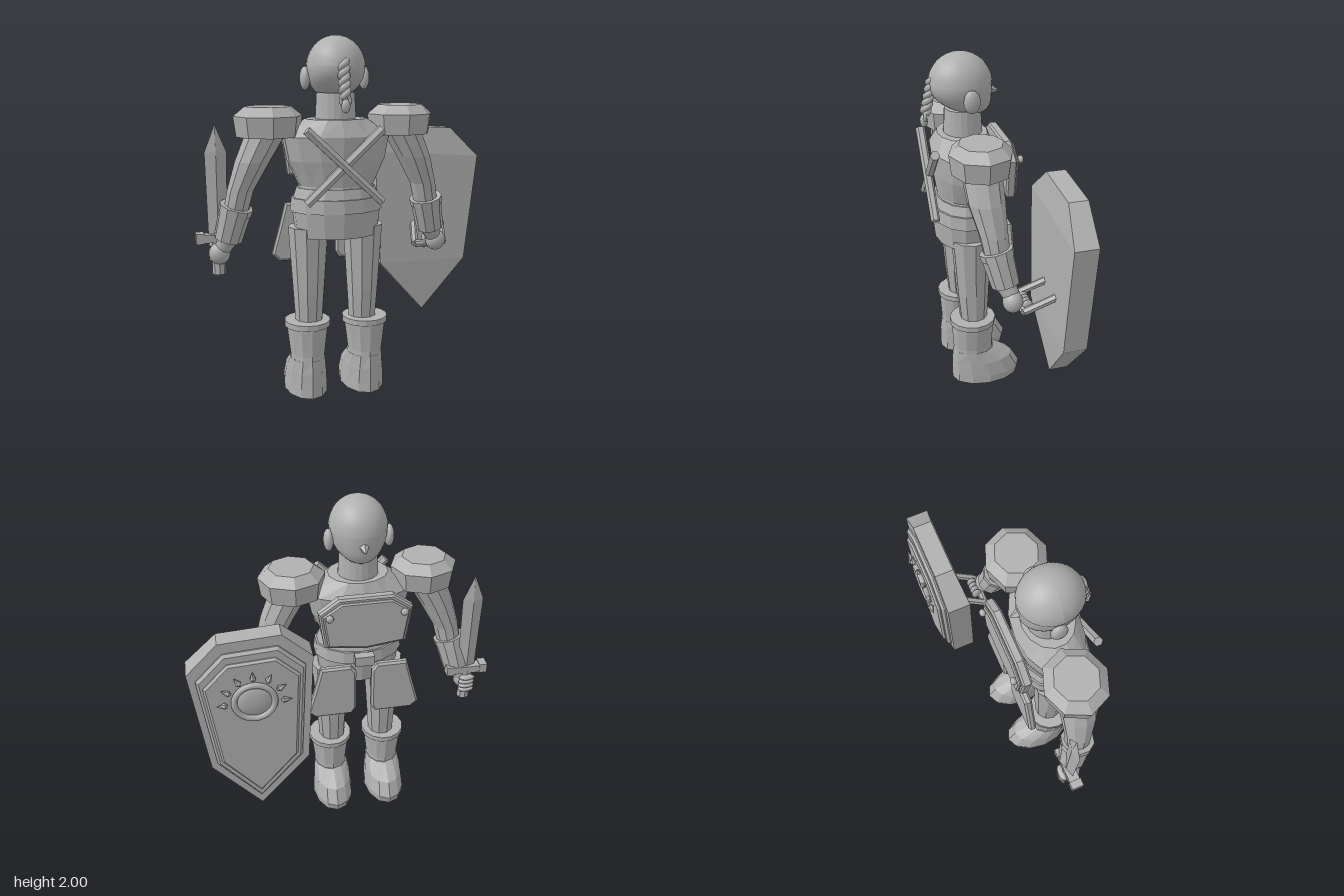
import * as THREE from 'three';

const steel = new THREE.MeshStandardMaterial({ color: 0xb0b0b0 });
steel.name = 'plain grey';

const V = (x, y, z) => new THREE.Vector3(x, y, z);

function add(parent, name, geo, faceted = true) {
  let g = geo;
  if (faceted) {
    g = geo.index ? geo.toNonIndexed() : geo;
    g.computeVertexNormals();
  }
  const m = new THREE.Mesh(g, steel);
  m.name = name;
  parent.add(m);
  return m;
}

// Closed skin over horizontal elliptical rings [x, y, z, rx, rz], bottom to top
function loft(rings, n, turn = 0) {
  const pos = [], idx = [];
  rings.forEach(([x, y, z, rx, rz]) => {
    for (let i = 0; i < n; i++) {
      const a = (i + turn) / n * Math.PI * 2;
      pos.push(x + Math.cos(a) * rx, y, z + Math.sin(a) * rz);
    }
  });
  const last = rings.length - 1;
  pos.push(...rings[0].slice(0, 3), ...rings[last].slice(0, 3));
  const c0 = rings.length * n, c1 = c0 + 1;
  for (let i = 0; i < n; i++) {
    const k = (i + 1) % n;
    for (let j = 0; j < last; j++) {
      const a = j * n + i, b = j * n + k;
      idx.push(a, a + n, b, b, a + n, b + n);
    }
    idx.push(c0, i, k, c1, last * n + k, last * n + i);
  }
  const g = new THREE.BufferGeometry();
  g.setAttribute('position', new THREE.Float32BufferAttribute(pos, 3));
  g.setIndex(idx);
  return g;
}

// Tapered rod from a to b
function rod(a, b, ra, rb, n = 8) {
  const d = b.clone().sub(a);
  const g = new THREE.CylinderGeometry(rb, ra, d.length(), n);
  g.applyQuaternion(new THREE.Quaternion().setFromUnitVectors(V(0, 1, 0), d.normalize()));
  return g.translate((a.x + b.x) / 2, (a.y + b.y) / 2, (a.z + b.z) / 2);
}

// Upright plate between two depths, with an optional bevel kept inside the outline
function plate(points, z0, z1, bevel = 0) {
  const shape = new THREE.Shape(points.map(p => new THREE.Vector2(p[0], p[1])));
  return new THREE.ExtrudeGeometry(shape, {
    depth: z1 - z0 - 2 * bevel, bevelEnabled: bevel > 0, bevelSegments: 1,
    bevelSize: bevel, bevelThickness: bevel, bevelOffset: -bevel,
  }).translate(0, 0, z0 + bevel);
}

const ball = (x, y, z, rx, ry, rz, n = 16) =>
  new THREE.SphereGeometry(1, n, Math.ceil(n * 0.7)).scale(rx, ry, rz).translate(x, y, z);

// Skull rule: the lower half leans forward into the chin
function skull(geo, size) {
  const p = geo.attributes.position;
  for (let i = 0; i < p.count; i++) {
    const y = p.getY(i), t = Math.max(0, -y);
    p.setXYZ(i, p.getX(i) * 0.158 * size, 1.83 + y * 0.17 * size,
      0.145 + p.getZ(i) * 0.172 * size - 0.08 * t * t);
  }
  geo.computeVertexNormals();
  return geo;
}

function buildHead(g) {
  add(g, 'head', skull(new THREE.SphereGeometry(1, 28, 20), 1), false);
  add(g, 'hairCap', skull(new THREE.SphereGeometry(1, 28, 10, 0, Math.PI * 2, 0, 1.5), 1.012), false);
  add(g, 'neck', loft([[0, 1.52, 0.135, 0.115, 0.11], [0, 1.7, 0.135, 0.105, 0.1]], 20), false);
  add(g, 'nose', rod(V(0, 1.785, -0.01), V(0, 1.772, -0.065), 0.032, 0.005, 5));
  for (const s of [-1, 1]) add(g, 'ear', ball(s * 0.165, 1.775, 0.12, 0.028, 0.063, 0.046), false);
  // Two twisted strands, a ring and a loose tip
  for (const phase of [0, Math.PI]) {
    const pts = [];
    for (let i = 0; i <= 36; i++) {
      const t = i / 36, a = phase + t * Math.PI * 5;
      pts.push(V(Math.cos(a) * 0.016, 1.87 - 0.19 * t, 0.298 + 0.042 * t + Math.sin(a) * 0.014));
    }
    add(g, 'braidStrand', new THREE.TubeGeometry(new THREE.CatmullRomCurve3(pts), 60, 0.018, 8), false);
  }
  add(g, 'braidRing', new THREE.TorusGeometry(0.025, 0.01, 8, 16).translate(0, 1.665, 0.345), false);
  add(g, 'braidTip', ball(0, 1.637, 0.35, 0.025, 0.037, 0.022, 10), false);
}

function buildTorso(g) {
  add(g, 'torso', loft([
    [0, 1.12, 0.14, 0.235, 0.16], [0, 1.2, 0.14, 0.21, 0.15], [0, 1.34, 0.14, 0.275, 0.172],
    [0, 1.47, 0.14, 0.3, 0.18], [0, 1.56, 0.14, 0.17, 0.14]], 14, 0.5));
  add(g, 'hips', loft([[0, 0.92, 0.145, 0.23, 0.165], [0, 1.08, 0.145, 0.25, 0.18]], 14, 0.5));
  add(g, 'belt', loft([[0, 1.06, 0.14, 0.258, 0.19], [0, 1.135, 0.14, 0.25, 0.185]], 14, 0.5));
  add(g, 'waistBand', loft([[0, 1.13, 0.14, 0.24, 0.175], [0, 1.19, 0.14, 0.22, 0.16]], 14, 0.5));
  add(g, 'buckle', new THREE.BoxGeometry(0.11, 0.06, 0.05).translate(0, 1.11, -0.075));

  // Chest plate in two layers with two bolts
  const chest = [[-0.15, 1.53], [0.15, 1.53], [0.26, 1.45], [0.23, 1.23], [0, 1.2], [-0.23, 1.23], [-0.26, 1.45]];
  add(g, 'chestPlate', plate(chest, -0.105, -0.05, 0.01));
  add(g, 'chestPanel', plate(chest.map(([x, y]) => [x * 0.92, 1.37 + (y - 1.37) * 0.88]), -0.122, -0.1, 0.008));
  for (const s of [-1, 1]) {
    add(g, 'chestBolt', ball(s * 0.205, 1.44, -0.137, 0.022, 0.022, 0.018, 10), false);
    // Hip plate
    const skirt = [[0.045, 1.03], [0.075, 1.07], [0.25, 1.07], [0.275, 0.97], [0.33, 0.77], [0.285, 0.73], [0.07, 0.73], [0.045, 0.77]];
    const pts = skirt.map(([x, y]) => [s * x, y]);
    add(g, 'hipPlate', plate(pts, -0.085, -0.04, 0.012));
    // Crossed scabbards on the back
    add(g, 'backStrap', rod(V(-s * 0.205, 1.515, 0.335), V(s * 0.205, 1.125, 0.335 + s * 0.01), 0.027, 0.025, 6));
  }
}

function buildSide(g, s) {
  // Shoulder guard
  const sx = s * 0.37;
  add(g, 'shoulderGuard', loft([[sx, 1.47, 0.128, 0.172, 0.158], [sx, 1.58, 0.128, 0.187, 0.172], [sx, 1.63, 0.128, 0.125, 0.12]], 8));
  // Arm, bracer and fist
  add(g, 'upperArm', loft([
    [s * 0.55, 1.05, 0.09, 0.07, 0.07], [s * 0.522, 1.18, 0.105, 0.075, 0.078],
    [s * 0.455, 1.34, 0.125, 0.098, 0.102], [s * 0.375, 1.5, 0.132, 0.115, 0.11]], 10));
  const cuff = V(s * 0.592, 0.905, 0.055), elbow = V(s * 0.547, 1.09, 0.095);
  add(g, 'bracer', rod(cuff, elbow, 0.078, 0.09, 10));
  add(g, 'bracerRim', rod(cuff.clone().lerp(elbow, 0.82), cuff.clone().lerp(elbow, 1.02), 0.092, 0.094, 10));
  add(g, 'wrist', rod(V(s * 0.63, 0.83, 0.025), cuff, 0.045, 0.055, 10), false);
  add(g, 'hand', ball(s * 0.637, 0.82, 0.03, 0.06, 0.063, 0.055), false);
  for (let i = 0; i < 4; i++) {
    const k = (i - 1.5) * 0.028;
    const at = s < 0 ? [s * 0.642, 0.815 + k, -0.025, 0.05, 0.016, 0.025]
      : [s * 0.637 + k, 0.8, -0.04, 0.016, 0.045, 0.032];
    add(g, 'finger', ball(...at, 10), false);
  }
  // Leg and boot
  const lx = s * 0.156, bx = s * 0.168;
  add(g, 'leg', loft([[lx, 0.38, 0.125, 0.075, 0.078], [lx, 0.6, 0.13, 0.09, 0.095], [lx, 0.97, 0.135, 0.115, 0.115]], 10));
  add(g, 'bootShaft', loft([[bx, 0.16, 0.135, 0.1, 0.125], [bx, 0.24, 0.135, 0.098, 0.12], [bx, 0.42, 0.135, 0.12, 0.13]], 12));
  add(g, 'bootCuff', loft([[bx, 0.4, 0.135, 0.13, 0.137], [bx, 0.432, 0.135, 0.13, 0.137]], 14));
  add(g, 'foot', loft([
    [bx, 0, 0.062, 0.122, 0.205], [bx, 0.05, 0.055, 0.122, 0.212],
    [bx, 0.14, 0.08, 0.114, 0.187], [bx, 0.215, 0.133, 0.1, 0.125]], 12));
}

function buildSword(g) {
  const x = -0.752, z = 0.012;
  add(g, 'swordGrip', rod(V(x, 0.7, z), V(x, 0.9, z), 0.038, 0.034, 8));
  add(g, 'swordGuard', new THREE.BoxGeometry(0.16, 0.045, 0.062).translate(x, 0.905, z));
  for (const s of [-1, 1]) add(g, 'guardEnd', new THREE.BoxGeometry(0.045, 0.058, 0.068).translate(x + s * 0.1, 0.907, z));
  add(g, 'blade', loft([[x, 0.92, z, 0.052, 0.018], [x, 1.38, z, 0.06, 0.018], [x, 1.525, z, 0.002, 0.002]], 4));
}

function buildShield(g) {
  const outline = [[0.37, 1.48], [0.7, 1.46], [0.873, 1.285], [0.8, 0.64], [0.535, 0.32], [0.25, 0.64], [0.21, 1.33]];
  const [a, b, c, d, e, f, h] = outline;
  // Three strips whose back bends away at the top and the tip
  for (const strip of [[a, b, c, h], [h, c, d, f], [f, d, e]]) {
    const geo = plate(strip, -0.295, -0.165), p = geo.attributes.position;
    for (let i = 0; i < p.count; i++) {
      const y = p.getY(i);
      if (p.getZ(i) > -0.2 && (y > 1.4 || y < 0.4)) p.setZ(i, -0.19);
    }
    add(g, 'shieldBody', geo);
  }
  const inset = k => outline.map(([x, y]) => [0.535 + (x - 0.535) * k, 0.93 + (y - 0.93) * (k + 0.02)]);
  add(g, 'shieldStep', plate(inset(0.87), -0.318, -0.28, 0.015));
  add(g, 'shieldFace', plate(inset(0.77), -0.335, -0.3, 0.012));

  // Round boss with rays around its upper half
  const cx = 0.535, cy = 1.11, cz = -0.345;
  add(g, 'bossRing', new THREE.TorusGeometry(0.108, 0.017, 8, 32).translate(cx, cy, cz), false);
  add(g, 'bossDome', ball(cx, cy, cz + 0.01, 0.095, 0.095, 0.025, 24), false);
  for (let i = 0; i < 7; i++) {
    const t = i / 6 * Math.PI, at = r => V(cx + Math.cos(t) * r, cy + Math.sin(t) * r, cz - 0.008);
    add(g, 'ray', rod(at(0.14), at(0.155), 0.006, 0.018, 6));
    add(g, 'rayPoint', rod(at(0.155), at(0.2), 0.018, 0.001, 6));
  }

  // Carrying handle
  const l = V(0.415, 0.79, -0.015), r = V(0.595, 0.79, -0.015);
  add(g, 'handleGrip', rod(l, r, 0.022, 0.022, 8));
  add(g, 'handleArm', rod(l, V(0.465, 0.885, -0.18), 0.021, 0.021, 6));
  add(g, 'handleArm', rod(r, V(0.64, 0.885, -0.18), 0.021, 0.021, 6));
}

export function createModel() {
  const model = new THREE.Group();
  model.name = 'armouredGuard';
  const part = (name, x = 0) => {
    const g = new THREE.Group();
    g.name = name;
    g.position.x = x;
    model.add(g);
    return g;
  };
  buildHead(part('headGroup', -0.11));
  buildTorso(part('torsoGroup', -0.11));
  buildSide(part('rightLimbs', -0.11), -1);
  buildSide(part('leftLimbs', -0.11), 1);
  buildSword(part('sword'));
  buildShield(part('shield'));
  return model;
}
